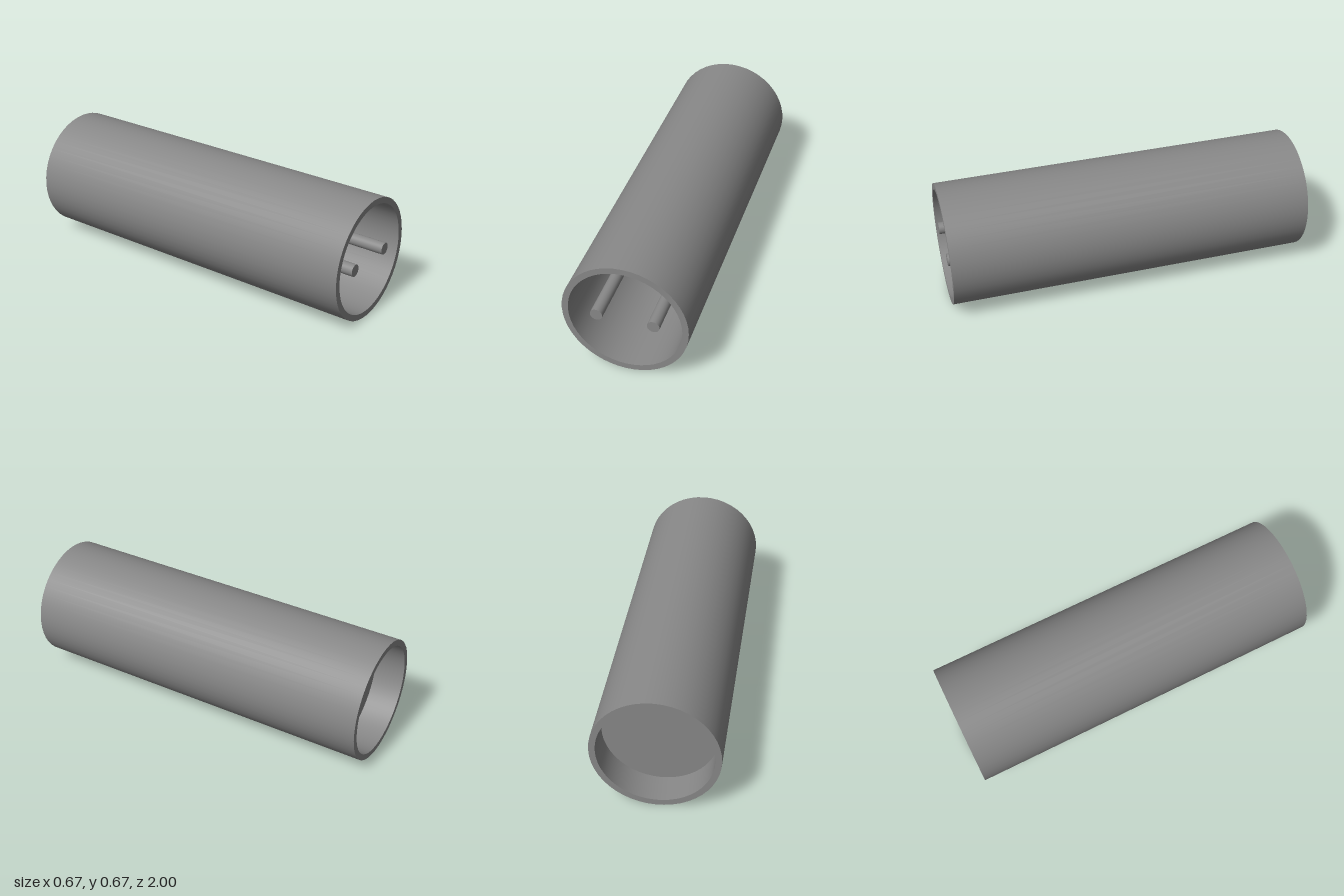
import * as THREE from 'three';
import { toCreasedNormals } from 'three/addons/utils/BufferGeometryUtils.js';

const R = 1 / 3;          // outer radius, also the height of the axis
const BORE = 0.3;         // inner radius
const FLOOR_BACK = -0.833; // back face of the dividing wall
const FLOOR_FRONT = -0.8;  // front face of the dividing wall

export function createModel() {
  const group = new THREE.Group();
  const material = new THREE.MeshStandardMaterial({ color: 0x888888 });

  // Tube with a dividing wall: deep bore in front, shallow recess at the back
  const profile = [
    [0, FLOOR_BACK], [BORE, FLOOR_BACK], [BORE, -1], [R, -1],
    [R, 1], [BORE, 1], [BORE, FLOOR_FRONT], [0, FLOOR_FRONT],
  ].map(([r, z]) => new THREE.Vector2(r, z));
  const shell = toCreasedNormals(new THREE.LatheGeometry(profile, 48), 0.6);
  shell.rotateX(Math.PI / 2);
  const tube = new THREE.Mesh(shell, material);
  tube.name = 'tube';
  tube.position.y = R;
  group.add(tube);

  // Two contact pins running from the wall to the front rim
  const length = 1 - FLOOR_FRONT;
  const pinGeometry = new THREE.CylinderGeometry(0.033, 0.033, length, 32).rotateX(Math.PI / 2);
  for (const [name, x] of [['leftPin', 0.15], ['rightPin', -0.15]]) {
    const pin = new THREE.Mesh(pinGeometry, material);
    pin.name = name;
    pin.position.set(x, R, 1 - length / 2);
    group.add(pin);
  }
  return group;
}
